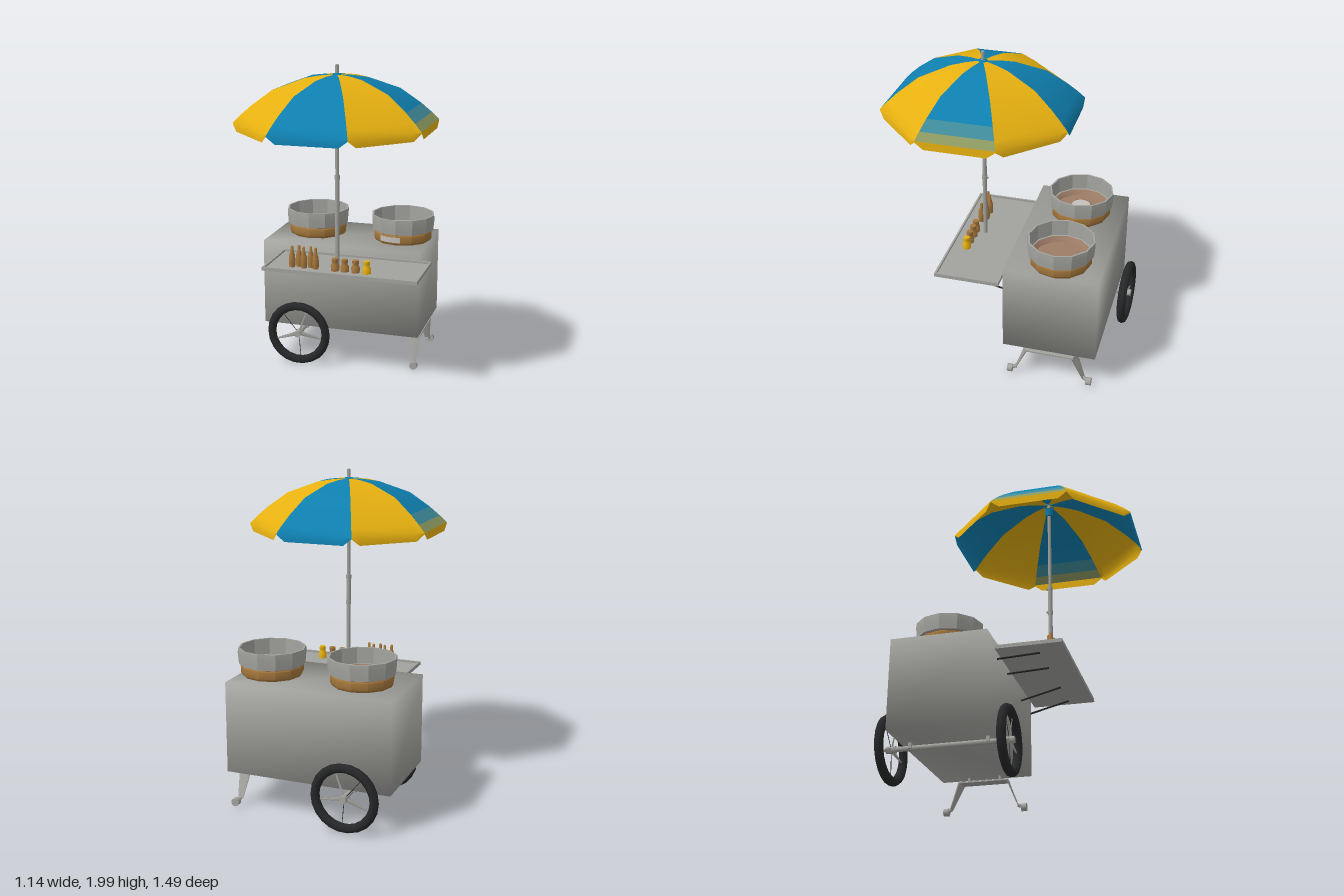
import * as THREE from 'three';
import { mergeVertices, toCreasedNormals } from 'three/addons/utils/BufferGeometryUtils.js';

const mat = (name, color, side = THREE.FrontSide) => {
  const m = new THREE.MeshStandardMaterial({ color, side });
  m.name = name;
  return m;
};

export function createModel() {
  const D = THREE.DoubleSide;
  const steel = mat('steel grey', 0xa2a29e, D);
  const yellow = mat('canopy yellow', 0xe6b010, D);
  const blue = mat('canopy blue', 0x0f80b0, D);
  const teal = mat('faded teal', 0x3f8c9c, D);
  const olive = mat('faded olive', 0x8c9a62, D);
  const rubber = mat('black rubber', 0x262728);
  const wood = mat('warm brown', 0xa5773c);
  const clay = mat('clay brown', 0x9c7c66, D);
  const pale = mat('pale grey', 0xc4c0ba, D);

  const root = new THREE.Group();
  root.name = 'streetFoodCart';
  const group = (name, x = 0, y = 0, z = 0, parent = root) => {
    const g = new THREE.Group();
    g.name = name;
    g.position.set(x, y, z);
    parent.add(g);
    return g;
  };
  const add = (parent, name, geo, m, x = 0, y = 0, z = 0) => {
    const mesh = new THREE.Mesh(geo, m);
    mesh.name = name;
    mesh.position.set(x, y, z);
    parent.add(mesh);
    return mesh;
  };
  // Straight bar between two points; flat squeezes its local z thickness
  const bar = (parent, name, a, b, r0, r1, m, sides = 8, flat = 1) => {
    const p = new THREE.Vector3(...a), q = new THREE.Vector3(...b), d = q.clone().sub(p);
    const geo = new THREE.CylinderGeometry(r1, r0, d.length(), sides);
    if (sides === 4) geo.rotateY(Math.PI / 4);
    geo.scale(1, 1, flat);
    const mesh = add(parent, name, geo, m, ...p.add(q).multiplyScalar(0.5).toArray());
    mesh.quaternion.setFromUnitVectors(new THREE.Vector3(0, 1, 0), d.normalize());
    return mesh;
  };
  const lathe = (pts, sides, crease = 0.7) => toCreasedNormals(
    new THREE.LatheGeometry(pts.map(p => new THREE.Vector2(...p)), sides), crease);

  // Cart body: softly shaded sheet metal box
  let box = new THREE.BoxGeometry(1.035, 0.56, 0.585);
  box.deleteAttribute('normal');
  box.deleteAttribute('uv');
  box = mergeVertices(box);
  box.computeVertexNormals();
  add(root, 'cartBody', box, steel, -0.0575, 0.53, -0.3575);

  // Serving tray with raised lip and struts
  const tray = group('servingTray', 0.053, 0.755, 0.14);
  add(tray, 'trayBoard', new THREE.BoxGeometry(0.974, 0.01, 0.4), steel, 0, -0.005, 0);
  for (const s of [-1, 1]) {
    add(tray, 'trayLongLip', new THREE.BoxGeometry(0.974, 0.022, 0.012), steel, 0, 0.002, s * 0.194);
    add(tray, 'traySideLip', new THREE.BoxGeometry(0.012, 0.022, 0.4), steel, s * 0.481, 0.002, 0);
  }
  for (const x of [0.225, 0.465]) bar(root, 'trayStrut', [x, 0.74, 0.187], [x - 0.02, 0.667, -0.066], 0.006, 0.006, rubber, 6);
  for (const x of [-0.335, -0.105]) bar(root, 'trayStrut', [x, 0.735, 0.187], [x - 0.025, 0.712, -0.066], 0.006, 0.006, rubber, 6);

  // Cooking pots
  const rim = lathe([[0.18, 0.88], [0.202, 0.882], [0.208, 0.95], [0.206, 0.98], [0.195, 0.98], [0.19, 0.88], [0.18, 0.88]], 12, 0.45);
  const base = lathe([[0.18, 0.81], [0.19, 0.825], [0.192, 0.868], [0.182, 0.884]], 12);
  const bowl = lathe([[0.192, 0.884], [0.165, 0.845], [0.001, 0.84]], 12);
  for (const [side, x] of [['right', -0.302], ['left', 0.278]]) {
    const pot = group(side + 'Pot', x, 0, -0.38);
    add(pot, 'potRim', rim, steel);
    add(pot, 'potBase', base, wood);
    add(pot, 'potBowl', bowl, clay);
    if (side === 'right') {
      add(pot, 'potMound', lathe([[0.09, 0.84], [0.085, 0.86], [0.058, 0.868]], 12), clay);
      add(pot, 'potLadleDisc', new THREE.CylinderGeometry(0.06, 0.06, 0.008, 16), pale, 0, 0.866, 0);
    } else {
      add(pot, 'potPatch', new THREE.CylinderGeometry(0.194, 0.193, 0.036, 6, 1, true, -0.6, 0.75), pale, 0, 0.848, 0);
    }
  }

  // Tall bottles and short jars on the tray
  const bottle = lathe([[0.001, 0], [0.019, 0], [0.022, 0.03], [0.02, 0.07], [0.01, 0.1], [0.009, 0.13], [0.001, 0.136]], 8, 1);
  const jar = lathe([[0.001, 0], [0.026, 0], [0.028, 0.03], [0.017, 0.05], [0.022, 0.062], [0.02, 0.078], [0.001, 0.08]], 8, 1);
  const goods = group('trayGoods', 0, 0.755, 0);
  for (let i = 0; i < 5; i++) add(goods, 'bottle', bottle, wood, -0.272 + i * 0.038, 0, i % 2 ? 0.215 : 0.238);
  [0.005, 0.066, 0.135, 0.205].forEach((x, i) => add(goods, 'jar', jar, i === 3 ? yellow : wood, x, 0, 0.238));

  // Umbrella pole
  const umbrella = group('umbrella', 0, 0, 0.176);
  bar(umbrella, 'lowerPole', [0, 0.75, 0], [0, 1.32, 0], 0.014, 0.014, steel, 10);
  bar(umbrella, 'upperPole', [0, 1.32, 0], [0, 2, 0], 0.011, 0.011, steel, 10);
  for (const y of [1.16, 1.325]) {
    add(umbrella, 'poleCollar', new THREE.CylinderGeometry(0.017, 0.017, 0.025, 10), steel, 0, y, 0);
    bar(umbrella, 'poleKnob', [0, y, 0], [0, y, -0.024], 0.007, 0.007, steel, 6);
  }
  add(umbrella, 'canopyCrown', lathe([[0.035, 1.932], [0.025, 1.948], [0.001, 1.952]], 10), blue);
  add(umbrella, 'canopyHub', new THREE.CylinderGeometry(0.028, 0.024, 0.05, 10), blue, 0, 1.885, 0);

  // Canopy: eight panels swept along one profile (distance to panel middle, height)
  const profile = [[0.012, 1.943], [0.09, 1.938], [0.175, 1.924], [0.35, 1.857], [0.466, 1.767], [0.525, 1.712], [0.565, 1.67], [0.567, 1.622]];
  const across = [-1, -0.78, 0.78, 1];
  const panel = (angle, from, to, m) => {
    const pos = [], index = [];
    for (let i = from; i <= to; i++) {
      const [r, y] = profile[i];
      across.forEach((t, c) => {
        // The hanging edge rises to meet each rib
        const drop = i === profile.length - 1 && (c === 0 || c === 3) ? 0.04 : 0;
        pos.push(t * r * Math.tan(Math.PI / 8), y + drop, r);
      });
    }
    for (let i = 0; i < to - from; i++) for (let c = 0; c < 3; c++) {
      const a = i * 4 + c;
      index.push(a, a + 4, a + 5, a, a + 5, a + 1);
    }
    const geo = new THREE.BufferGeometry();
    geo.setAttribute('position', new THREE.Float32BufferAttribute(pos, 3));
    geo.setIndex(index);
    geo.computeVertexNormals();
    add(umbrella, 'canopyPanel', geo, m).rotation.y = angle;
  };
  for (let k = 0; k < 8; k++) {
    const angle = k * Math.PI / 4;
    if (k % 4 === 2) {
      // Side panels fade towards the rim
      panel(angle, 0, 4, blue);
      panel(angle, 4, 5, teal);
      panel(angle, 5, 6, olive);
      panel(angle, 6, 7, yellow);
    } else panel(angle, 0, 7, k % 2 ? yellow : blue);
  }

  // Wheels with hub, flat spokes and wire spokes
  const tyre = new THREE.TorusGeometry(0.184, 0.028, 8, 22);
  for (const [name, z, tilt] of [['frontWheel', 0.002, 0], ['backWheel', -0.711, -0.03]]) {
    const wheel = group(name, -0.318, 0.222, z);
    wheel.rotation.y = tilt;
    add(wheel, 'tyre', tyre, rubber);
    bar(wheel, 'hub', [0, 0, -0.03], [0, 0, 0.03], 0.022, 0.022, steel, 10);
    [200, 350, 70].forEach((deg, i) => {
      const a = THREE.MathUtils.degToRad(deg);
      bar(wheel, 'flatSpoke', [0, 0, 0], [0.165 * Math.cos(a), 0.165 * Math.sin(a), 0],
        i < 2 ? 0.02 : 0.009, 0.005, steel, 4, 0.4);
    });
    for (const deg of [130, 275]) {
      const a = THREE.MathUtils.degToRad(deg);
      bar(wheel, 'wireSpoke', [0, 0, 0], [0.165 * Math.cos(a), 0.165 * Math.sin(a), 0], 0.002, 0.002, rubber, 5);
    }
  }
  bar(root, 'axle', [-0.318, 0.222, 0.03], [-0.318, 0.222, -0.72], 0.016, 0.016, steel, 10);
  for (const z of [-0.12, -0.59]) add(root, 'axleMount', new THREE.BoxGeometry(0.05, 0.04, 0.02), steel, -0.318, 0.235, z);

  // Splayed support legs with casters
  const legs = group('supportLegs', 0.41, 0, -0.3575);
  add(legs, 'legCrossbar', new THREE.BoxGeometry(0.08, 0.01, 0.31), steel, 0, 0.215, 0);
  for (const s of [-1, 1]) {
    add(legs, 'legMount', new THREE.BoxGeometry(0.03, 0.04, 0.012), steel, 0, 0.233, s * 0.1);
    bar(legs, 'leg', [0, 0.217, s * 0.152], [0.005, 0.055, s * 0.218], 0.055, 0.024, steel, 4, 0.16);
    bar(legs, 'casterFork', [0.005, 0.055, s * 0.215], [0.015, 0.045, s * 0.25], 0.012, 0.012, steel, 6);
    bar(legs, 'caster', [0.018, 0.042, s * 0.238], [0.018, 0.042, s * 0.27], 0.025, 0.025, steel, 12);
  }
  return root;
}
